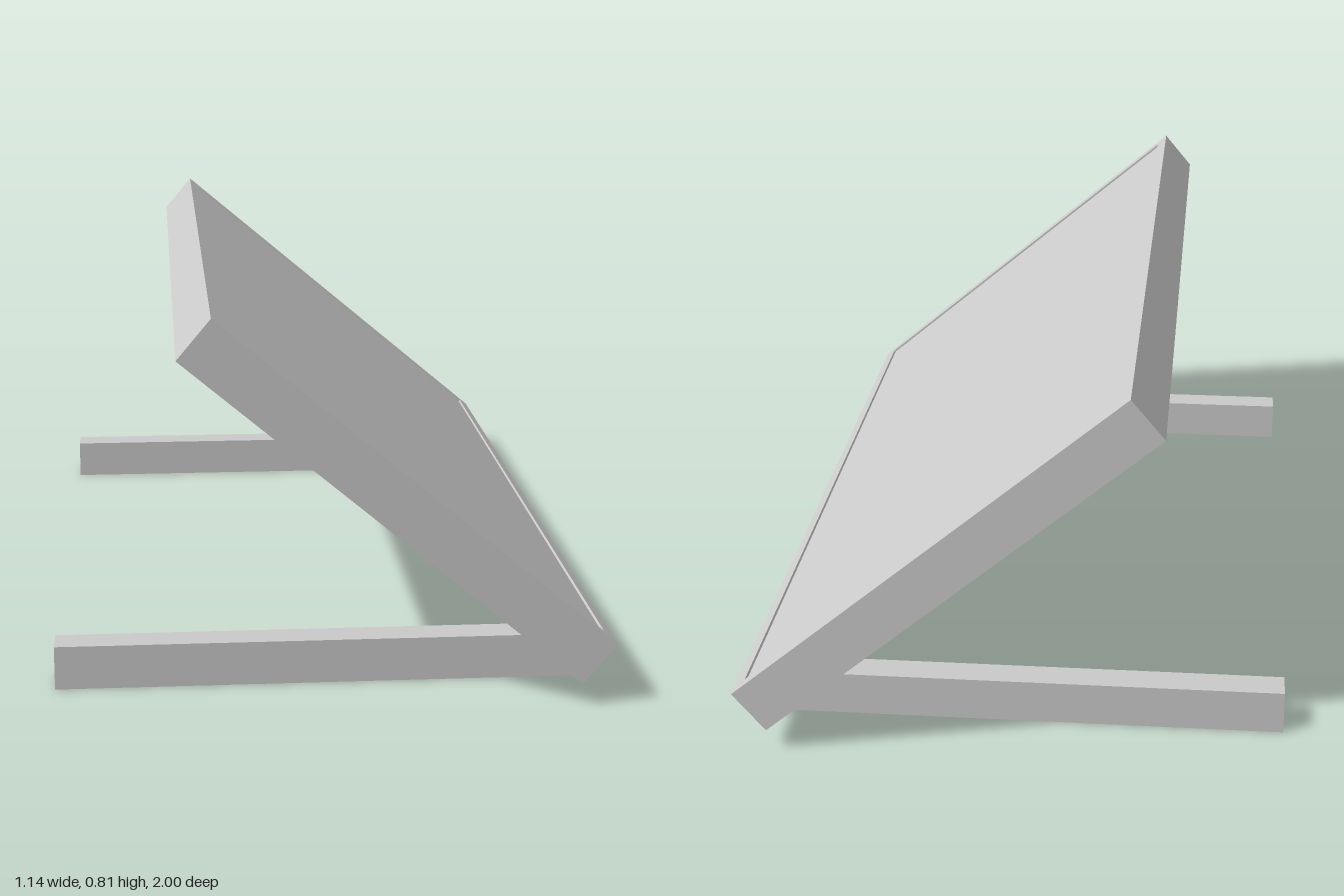
import * as THREE from 'three';

const material = new THREE.MeshStandardMaterial({ color: 0xcccccc, flatShading: true });

const outline = (pts) => pts.map(([x, y]) => new THREE.Vector2(x, y));

// Extrudes an x-y profile along z, centred on the given z
function extrudeZ(name, shape, width, z = 0) {
  const geo = new THREE.ExtrudeGeometry(shape, { depth: width, bevelEnabled: false });
  geo.translate(0, 0, z - width / 2);
  const mesh = new THREE.Mesh(geo, material);
  mesh.name = name;
  return mesh;
}

// Tilted slab: a thin-rimmed frame with a slightly recessed face
function createPanel() {
  const L = 1.061, T = 0.107, W = 2, rim = 0.03, recess = 0.005;
  const panel = new THREE.Group();
  panel.name = 'panel';

  const rect = (w, h) => outline([[-w, -h], [w, -h], [w, h], [-w, h]]);
  const frameShape = new THREE.Shape(rect(L / 2, W / 2));
  frameShape.holes.push(new THREE.Path(rect(L / 2 - rim, W / 2 - rim)));
  const frameGeo = new THREE.ExtrudeGeometry(frameShape, { depth: T, bevelEnabled: false });
  frameGeo.rotateX(-Math.PI / 2).translate(0, -T / 2, 0);
  const frame = new THREE.Mesh(frameGeo, material);
  frame.name = 'panelFrame';

  const face = new THREE.Mesh(
    new THREE.BoxGeometry(L - 2 * rim, T - recess, W - 2 * rim), material);
  face.name = 'panelFace';
  face.position.y = -recess / 2;

  panel.add(frame, face);
  panel.rotation.z = -THREE.MathUtils.degToRad(40);
  panel.position.set(0.128, 0.43, 0);
  return panel;
}

export function createModel() {
  const model = new THREE.Group();
  model.name = 'tiltedPanelOnStand';
  model.add(createPanel());

  // Floor legs, cut to the panel's slope, with a low stub at the end
  const legShape = new THREE.Shape(outline([
    [-0.57, 0], [0.545, 0], [0.545, 0.046], [0.502, 0.046], [0.446, 0.093], [-0.57, 0.093],
  ]));
  for (const side of [-1, 1]) {
    model.add(extrudeZ(side > 0 ? 'frontLeg' : 'backLeg', legShape, 0.07, side * 0.8));
  }

  // Cross bar joining the legs under the panel's low edge
  const barShape = new THREE.Shape(outline([
    [0.435, 0], [0.49, 0], [0.49, 0.056], [0.446, 0.093], [0.435, 0.093],
  ]));
  model.add(extrudeZ('crossBar', barShape, 1.53));

  return model;
}
